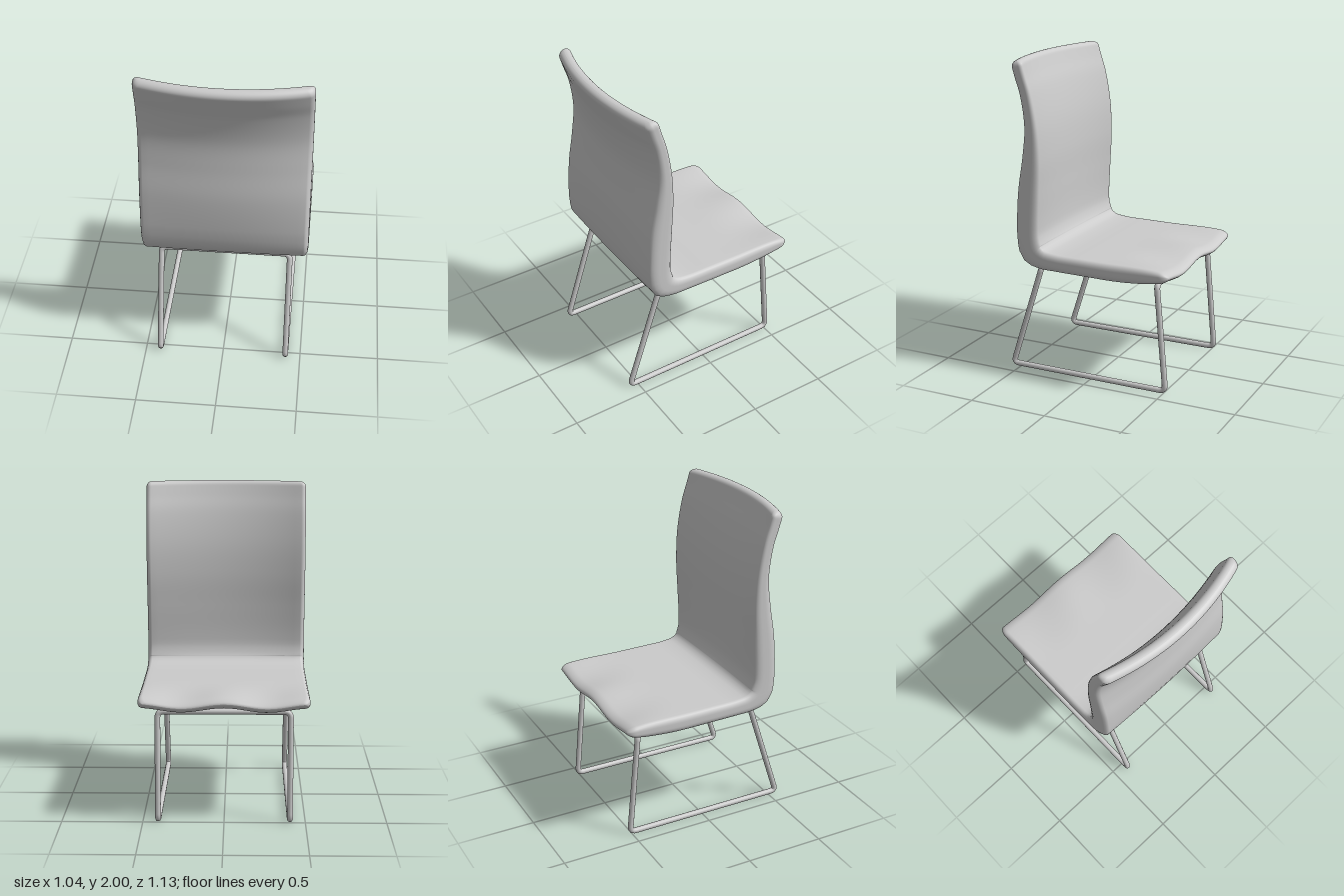
import * as THREE from 'three';

const HALF_WIDTH = 0.518;

// Centre line of the padded shell at its side edge: z, y, thickness
const SPINE = new THREE.CatmullRomCurve3([
  [0.43, 2.0, 0.08], [0.4, 1.9, 0.08], [0.369, 1.8, 0.08], [0.339, 1.6, 0.09],
  [0.345, 1.4, 0.12], [0.367, 1.2, 0.144], [0.38, 1.0, 0.148], [0.379, 0.91, 0.15],
  [0.355, 0.82, 0.162], [0.285, 0.78, 0.124], [0.2, 0.77, 0.108], [0, 0.766, 0.106],
  [-0.3, 0.763, 0.104], [-0.45, 0.763, 0.088], [-0.565, 0.766, 0.056],
].map(p => new THREE.Vector3(...p)), false, 'centripetal');

// Quarter-circle easing used to round the two ends
const roundOff = (d, r) => Math.sqrt(Math.max(0, 1 - (1 - Math.min(d / r, 1)) ** 2));

// Anticlockwise rounded rectangle: x across the shell, n through its thickness
function section(w, h) {
  const pts = [], rx = 0.03, ry = h * 0.75, arc = 5, flat = 24;
  [[1, -1], [1, 1], [-1, 1], [-1, -1]].forEach(([sx, sn], corner) => {
    for (let i = 0; i <= arc; i++) {
      const a = (corner - 1 + i / arc) * Math.PI / 2;
      pts.push([sx * (w - rx) + rx * Math.cos(a), sn * (h - ry) + ry * Math.sin(a)]);
    }
    // Divide the two broad faces so that they can bow
    if (corner % 2) {
      for (let i = 1; i < flat; i++) pts.push([sx * (w - rx) * (1 - 2 * i / flat), sn * h]);
    }
  });
  return pts;
}

function shellGeometry() {
  const rows = 100, length = SPINE.getLength(), pos = [], index = [];
  let n = 0;
  for (let i = 0; i <= rows; i++) {
    const t = (1 - Math.cos(Math.PI * i / rows)) / 2;
    const c = SPINE.getPointAt(t), tan = SPINE.getTangentAt(t);
    const len = Math.hypot(tan.x, tan.y), nz = tan.y / len, ny = -tan.x / len;
    const k = Math.min(roundOff(t * length, 0.035), roundOff((1 - t) * length, 0.06));
    const loop = section(HALF_WIDTH - 0.035 * (1 - k), c.z / 2 * k);
    n = loop.length;
    for (const [x, off] of loop) {
      const u = x / HALF_WIDTH;
      // The back bows rearwards towards its top, the seat lip is gently waved
      const back = 0.073 * Math.max(0, c.y - 0.76) ** 0.8 * (1 - u * u);
      const wave = 0.014 * THREE.MathUtils.smoothstep(-c.x, 0.15, 0.56) * Math.cos(2 * Math.PI * u);
      pos.push(x, c.y + ny * off + wave, c.x + nz * off + back * THREE.MathUtils.smoothstep(c.x, 0.2, 0.34));
    }
  }
  for (let i = 0; i < rows; i++) {
    for (let j = 0; j < n; j++) {
      const a = i * n + j, b = i * n + (j + 1) % n;
      index.push(a, a + n, b, b, a + n, b + n);
    }
  }
  const g = new THREE.BufferGeometry();
  g.setAttribute('position', new THREE.Float32BufferAttribute(pos, 3));
  g.setIndex(index);
  g.computeVertexNormals();
  return g;
}

// Closed path of straight runs joined by rounded bends
function roundedLoop(points, r) {
  const path = new THREE.CurvePath(), n = points.length;
  const toward = (a, b) => a.clone().add(b.clone().sub(a).setLength(r));
  points.forEach((p, i) => {
    const prev = points[(i + n - 1) % n], next = points[(i + 1) % n];
    path.add(new THREE.QuadraticBezierCurve3(toward(p, prev), p, toward(p, next)));
    path.add(new THREE.LineCurve3(toward(p, next), toward(next, p)));
  });
  return path;
}

export function createModel() {
  const group = new THREE.Group();
  const material = new THREE.MeshStandardMaterial({ color: 0xcccccc });

  const shell = new THREE.Mesh(shellGeometry(), material);
  shell.name = 'seatAndBackrest';
  group.add(shell);

  // Bent tube frame: crossbars under the seat, sloping legs, floor rails
  const side = [[0.705, 0.335], [0.024, 0.555], [0.024, -0.512], [0.702, -0.45]];
  const points = [
    ...side.map(([y, z]) => new THREE.Vector3(0.405, y, z)),
    ...side.reverse().map(([y, z]) => new THREE.Vector3(-0.405, y, z)),
  ];
  const frame = new THREE.Mesh(
    new THREE.TubeGeometry(roundedLoop(points, 0.04), 700, 0.018, 12, true), material);
  frame.name = 'legFrame';
  group.add(frame);
  return group;
}
